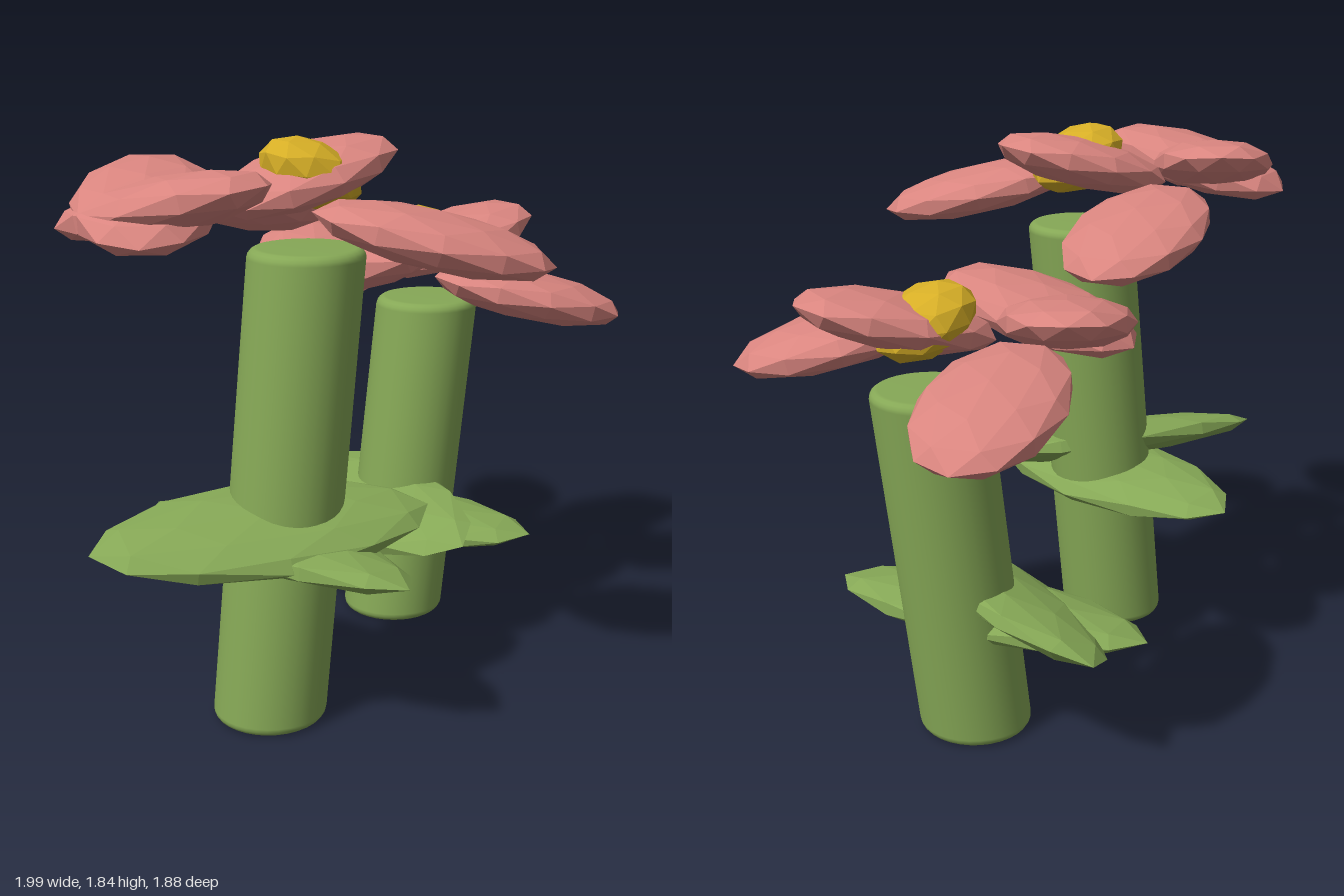
import * as THREE from 'three';

const mat = (color, flatShading) => new THREE.MeshStandardMaterial({ color, flatShading });
const petalMat = mat(0xd9857f, true);
const leafMat = mat(0x86a856, true);
const stemMat = mat(0x86a856, false);
const centreMat = mat(0xd6ae26, true);
const rad = THREE.MathUtils.degToRad;

// Faceted ellipsoid, long axis along local x; angles are yaw, pitch, roll in degrees
function blob(name, material, [a, b, c], position, [yaw, pitch, roll], pinch = 0) {
  const geo = new THREE.IcosahedronGeometry(1, 1);
  const p = geo.attributes.position;
  for (let i = 0; i < p.count; i++) {
    const x = p.getX(i), k = 1 - pinch * x * x;
    p.setXYZ(i, a * x, b * k * p.getY(i), c * k * p.getZ(i));
  }
  geo.computeVertexNormals();
  const mesh = new THREE.Mesh(geo, material);
  mesh.name = name;
  mesh.position.set(...position);
  mesh.rotation.set(rad(roll), rad(yaw), rad(pitch), 'YZX');
  return mesh;
}

// Round stem with softened rims, sheared so both ends stay level
function stem(x, z, height, lean) {
  const r = 0.182, e = 0.03;
  const profile = [new THREE.Vector2(0, 0)];
  for (let i = 0; i <= 4; i++) {
    const t = (i / 4) * Math.PI / 2;
    profile.push(new THREE.Vector2(r - e + e * Math.sin(t), e - e * Math.cos(t)));
  }
  for (let i = 0; i <= 4; i++) {
    const t = (i / 4) * Math.PI / 2;
    profile.push(new THREE.Vector2(r - e + e * Math.cos(t), height - e + e * Math.sin(t)));
  }
  profile.push(new THREE.Vector2(0, height));
  const geo = new THREE.LatheGeometry(profile, 32);
  const k = lean / height;
  geo.applyMatrix4(new THREE.Matrix4().set(1, k, 0, 0, 0, 1, 0, 0, 0, 0, 1, 0, 0, 0, 0, 1));
  const mesh = new THREE.Mesh(geo, stemMat);
  mesh.name = 'stem';
  mesh.position.set(x, 0, z);
  return mesh;
}

// Each petal and leaf: centre position, then yaw, pitch, roll
const plants = [
  {
    name: 'tallFlower',
    stem: [-0.41, 0.26, 1.51, 0.15],
    petals: [
      [[-0.24, 1.72, 0.215], [0, 15, 0], 0.32],
      [[-0.175, 1.57, -0.23], [34, -13, 0], 0.35],
      [[-0.09, 1.575, 0.675], [-32, -13, 0], 0.36],
      [[-0.755, 1.675, 0.285], [-60, 13, 0], 0.35],
      [[-0.755, 1.675, 0.19], [60, 13, 0], 0.35],
    ],
    centre: [-0.25, 1.73, 0.265],
    leaves: [
      [[-0.45, 0.66, 0.32], [-9, 0, 18]],
      [[-0.37, 0.57, 0.235], [-76, 0, -8]],
    ],
  },
  {
    name: 'shortFlower',
    stem: [0.425, -0.235, 1.18, 0.14],
    petals: [
      [[0.64, 1.39, -0.19], [0, 15, 0], 0.33],
      [[0.575, 1.25, -0.67], [43, -13, 0], 0.35],
      [[0.675, 1.245, 0.195], [-20, -13, 0], 0.345],
      [[0.125, 1.34, -0.13], [-60, 13, 0], 0.35],
      [[0.125, 1.34, -0.305], [60, 13, 0], 0.35],
    ],
    centre: [0.58, 1.395, -0.255],
    leaves: [
      [[0.36, 0.385, -0.21], [-56, 0, 4]],
      [[0.32, 0.435, -0.24], [90, 0, -22]],
    ],
  },
];

export function createModel() {
  const model = new THREE.Group();
  model.name = 'flowers';
  for (const spec of plants) {
    const plant = new THREE.Group();
    plant.name = spec.name;
    plant.add(stem(...spec.stem));
    for (const [pos, rot, length] of spec.petals) {
      plant.add(blob('petal', petalMat, [length, 0.085, 0.22], pos, rot));
    }
    // Seed head pokes through the middle petal above and below
    plant.add(blob('flowerCentre', centreMat, [0.17, 0.1, 0.15], spec.centre, [0, -25, 0]));
    for (const [pos, rot] of spec.leaves) {
      plant.add(blob('leaf', leafMat, [0.56, 0.07, 0.23], pos, rot, 0.15));
    }
    model.add(plant);
  }
  return model;
}
